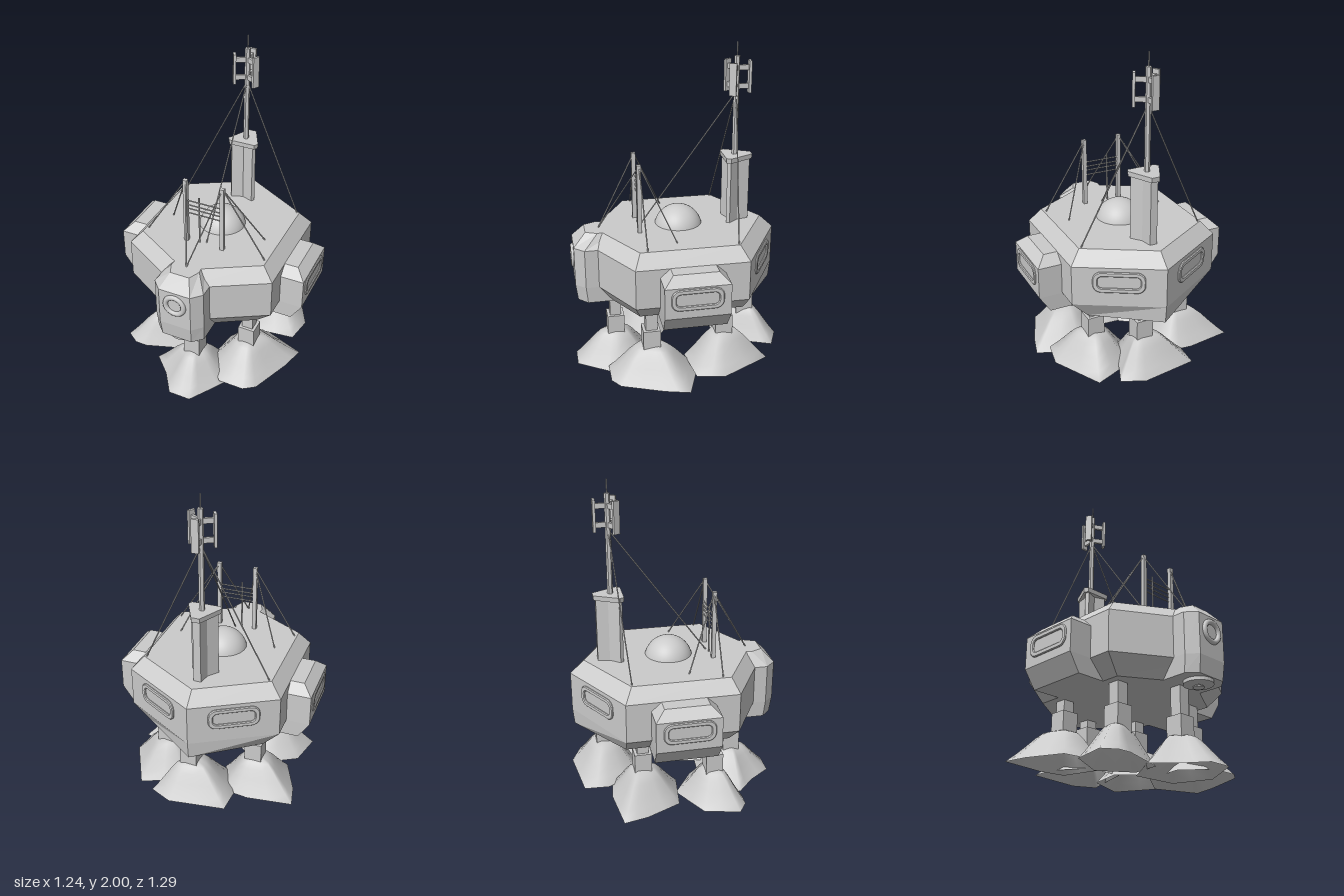
import * as THREE from 'three';

const flat = new THREE.MeshStandardMaterial({ color: 0xcccccc, flatShading: true });
const smooth = new THREE.MeshStandardMaterial({ color: 0xcccccc, side: THREE.DoubleSide });
const V = (x, y, z) => new THREE.Vector3(x, y, z);

// Mirrors half an outline [x, z], running back to front on +x, into a closed one
const mirror = (half) => [...half, ...half.filter((p) => p[0] > 0).reverse().map(([x, z]) => [-x, z])];

// Skins horizontal rings { y, pts } from bottom to top, optionally capped
function loft(rings, caps = true) {
  const n = rings[0].pts.length;
  const area = rings[0].pts.reduce((a, p, i, r) => {
    const q = r[(i + 1) % n];
    return a + q[0] * p[1] - p[0] * q[1];
  }, 0);
  const pos = [];
  const idx = [];
  rings.forEach(({ y, pts }) => (area < 0 ? [...pts].reverse() : pts).forEach(([x, z]) => pos.push(x, y, z)));
  for (let r = 0; r < rings.length - 1; r++) {
    for (let i = 0; i < n; i++) {
      const a = r * n + i, b = r * n + (i + 1) % n;
      idx.push(a, b, b + n, a, b + n, a + n);
    }
  }
  if (caps) {
    [0, rings.length - 1].forEach((r) => {
      const c = pos.length / 3;
      const mid = rings[r].pts.reduce((m, p) => [m[0] + p[0] / n, m[1] + p[1] / n], [0, 0]);
      pos.push(mid[0], rings[r].y, mid[1]);
      for (let i = 0; i < n; i++) {
        const a = r * n + i, b = r * n + (i + 1) % n;
        if (r) idx.push(c, a, b);
        else idx.push(c, b, a);
      }
    });
  }
  const g = new THREE.BufferGeometry();
  g.setAttribute('position', new THREE.Float32BufferAttribute(pos, 3));
  g.setIndex(idx);
  g.computeVertexNormals();
  return g;
}

function roundedRect(shape, w, h) {
  const r = h * 0.75;
  shape.absarc(w - r, h - r, r, 0, Math.PI / 2);
  shape.absarc(-w + r, h - r, r, Math.PI / 2, Math.PI);
  shape.absarc(-w + r, -h + r, r, Math.PI, Math.PI * 1.5);
  shape.absarc(w - r, -h + r, r, Math.PI * 1.5, Math.PI * 2);
  shape.closePath();
  return shape;
}

export function createModel() {
  const model = new THREE.Group();
  const add = (name, geo, x = 0, y = 0, z = 0, mat = flat) => {
    const m = new THREE.Mesh(geo, mat);
    m.name = name;
    m.position.set(x, y, z);
    model.add(m);
    return m;
  };
  const box = (name, w, h, d, x, y, z) => add(name, new THREE.BoxGeometry(w, h, d), x, y, z);
  const rod = (name, a, b, r = 0.004) => {
    const m = add(name, new THREE.CylinderGeometry(r, r, a.distanceTo(b), 6));
    m.position.copy(a).lerp(b, 0.5);
    m.quaternion.setFromUnitVectors(V(0, 1, 0), b.clone().sub(a).normalize());
  };

  // Hexagonal hull with chamfered top and bottom
  const wall = mirror([[0, -0.635], [0.47, -0.366], [0.47, 0.305], [0, 0.575]]);
  add('hull', loft([
    { y: 0.475, pts: mirror([[0, -0.625], [0.37, -0.357], [0.37, 0.27], [0, 0.49]]) },
    { y: 0.58, pts: wall },
    { y: 0.825, pts: wall },
    { y: 0.905, pts: mirror([[0, -0.55], [0.4, -0.32], [0.4, 0.267], [0, 0.497]]) },
  ]));
  add('dome', new THREE.SphereGeometry(0.148, 40, 24), 0, 0.868, -0.028, smooth);

  // Front turret with round window and underside hatch
  const turret = mirror([[0.155, 0.33], [0.157, 0.565], [0.1, 0.625]]);
  add('frontTurret', loft([
    { y: 0.475, pts: mirror([[0.15, 0.33], [0.152, 0.555], [0.095, 0.612]]) },
    { y: 0.58, pts: turret },
    { y: 0.825, pts: turret },
    { y: 0.905, pts: mirror([[0.07, 0.36], [0.09, 0.48], [0.06, 0.55]]) },
  ]));
  add('roundWindowFrame', new THREE.TorusGeometry(0.058, 0.016, 10, 32), 0, 0.735, 0.625, smooth);
  add('turretHatch', new THREE.CylinderGeometry(0.085, 0.085, 0.02, 24), 0, 0.465, 0.52);
  add('hatchStem', new THREE.CylinderGeometry(0.012, 0.012, 0.02, 12), 0, 0.449, 0.52);
  add('hatchDisc', new THREE.CylinderGeometry(0.033, 0.033, 0.006, 20), 0, 0.441, 0.52);

  // Side pods
  const rect = (x0, x1, h) => [[x0, -0.028 - h], [x1, -0.028 - h], [x1, -0.028 + h], [x0, -0.028 + h]];
  for (const s of [1, -1]) {
    add('sidePod', loft([
      { y: 0.475, pts: rect(s * 0.3, s * 0.545, 0.188) },
      { y: 0.58, pts: rect(s * 0.3, s * 0.613, 0.192) },
      { y: 0.77, pts: rect(s * 0.3, s * 0.613, 0.192) },
      { y: 0.826, pts: rect(s * 0.3, s * 0.555, 0.133) },
    ]));
  }

  // Oblong window frames on pods and back walls
  const frame = roundedRect(new THREE.Shape(), 0.147, 0.061);
  frame.holes.push(roundedRect(new THREE.Path(), 0.128, 0.042));
  const frameGeo = new THREE.ExtrudeGeometry(frame, {
    depth: 0.006, bevelThickness: 0.005, bevelSize: 0.005, bevelSegments: 1, curveSegments: 6,
  });
  for (const s of [1, -1]) {
    add('podWindowFrame', frameGeo, s * 0.61, 0.695, -0.025).rotation.y = s * Math.PI / 2;
    add('backWindowFrame', frameGeo, s * 0.235, 0.735, -0.5).rotation.y = s * Math.PI * 5 / 6;
  }

  // Three-sided tower with hollowed faces and a cap
  const tri = (k) => mirror([[0.025, -0.48], [0.1, -0.33], [0.085, -0.305]])
    .map(([x, z]) => [x * k, -0.375 + (z + 0.375) * k]);
  const hollow = mirror([[0.022, -0.465], [0.036, -0.394], [0.083, -0.335], [0.07, -0.315], [0, -0.34]]);
  add('tower', loft([{ y: 0.88, pts: hollow }, { y: 1.3, pts: hollow }]));
  add('towerCap', loft([{ y: 1.295, pts: tri(0.97) }, { y: 1.325, pts: tri(1) }]));

  // Mast, tip and three radial antenna panels
  add('mast', new THREE.CylinderGeometry(0.017, 0.017, 0.62, 6), 0, 1.61, -0.375);
  rod('mastTip', V(0, 1.9, -0.375), V(0, 2, -0.375));
  for (let i = 0; i < 3; i++) {
    const arm = new THREE.Group();
    arm.name = 'antenna';
    arm.position.set(0, 0, -0.375);
    arm.rotation.y = Math.PI + i * Math.PI * 2 / 3;
    const part = (name, w, h, d, y, z) => {
      const m = new THREE.Mesh(new THREE.BoxGeometry(w, h, d), flat);
      m.name = name;
      m.position.set(0, y, z);
      arm.add(m);
    };
    part('antennaPanel', 0.042, 0.19, 0.016, 1.795, 0.078);
    part('antennaArm', 0.016, 0.03, 0.075, 1.74, 0.038);
    part('antennaArm', 0.016, 0.03, 0.075, 1.85, 0.038);
    model.add(arm);
  }
  for (const end of [[-0.385, -0.315], [0.385, -0.315], [0.005, 0.21]]) {
    rod('mastStay', V(0, 1.71, -0.375), V(end[0], 0.905, end[1]));
  }

  // Front twin posts with stays and wires
  for (const s of [1, -1]) {
    box('post', 0.025, 0.43, 0.025, s * 0.117, 1.115, 0.228);
    for (const [x, z] of [[0.385, 0.22], [0, 0.465], [0.31, 0.035]]) {
      rod('postStay', V(s * 0.117, 1.325, 0.225), V(s * x, 0.905, z));
    }
  }
  for (const y of [1.185, 1.155, 1.13, 1.1]) rod('wire', V(-0.117, y, 0.22), V(0.117, y, 0.22));
  rod('wirePole', V(-0.035, 0.9, 0.22), V(-0.035, 1.22, 0.22), 0.005);

  // Legs on uneven mounds: centre, mound base height, ground outline
  const legs = [
    [0, 0.38, 0, [[-0.27, 0.39], [-0.155, 0.5], [-0.06, 0.635], [0.08, 0.635], [0.155, 0.52], [0.23, 0.4], [0.15, 0.18], [-0.12, 0.16]]],
    [0.29, 0.195, 0.04, [[0.57, 0], [0.53, 0.15], [0.43, 0.4], [0.36, 0.45], [0.2, 0.45], [0.06, 0.3], [0.1, 0.05], [0.3, -0.1]]],
    [-0.29, 0.195, 0.04, [[-0.53, 0.315], [-0.45, 0.37], [-0.37, 0.37], [-0.08, 0.27], [-0.06, 0.1], [-0.25, -0.03], [-0.48, 0.1]]],
    [0.29, -0.25, 0.1, [[0.373, -0.52], [0.53, -0.22], [0.5, -0.05], [0.25, -0.02], [0.06, -0.2], [0.12, -0.42]]],
    [-0.29, -0.25, 0.1, [[-0.575, -0.405], [-0.545, -0.26], [-0.45, -0.05], [-0.2, -0.02], [-0.08, -0.2], [-0.14, -0.42], [-0.3, -0.44]]],
    [0.06, -0.44, 0.12, [[-0.21, -0.6], [0.13, -0.647], [0.267, -0.585], [0.22, -0.47], [0.15, -0.25], [-0.1, -0.24], [-0.22, -0.45]]],
  ];
  const slope = [[1, 0], [0.83, 0.045], [0.66, 0.095], [0.5, 0.145], [0.36, 0.18], [0.2, 0.195], [0.02, 0.2]];
  for (const [x, z, base, outline] of legs) {
    // Midpoints soften the outline between its corners
    const ground = outline.flatMap((p, i) => {
      const q = outline[(i + 1) % outline.length];
      return [p, [(p[0] + q[0]) / 2, (p[1] + q[1]) / 2]];
    });
    add('mound', loft(slope.map(([k, h]) => ({
      y: base + h, pts: ground.map(([gx, gz]) => [x + (gx - x) * k, z + (gz - z) * k]),
    })), false), 0, 0, 0, smooth);
    const foot = base + 0.15;
    box('leg', 0.07, 0.49 - foot, 0.07, x, (0.49 + foot) / 2, z);
    box('legSleeve', 0.105, 0.15, 0.105, x, base + 0.23, z);
  }
  return model;
}
